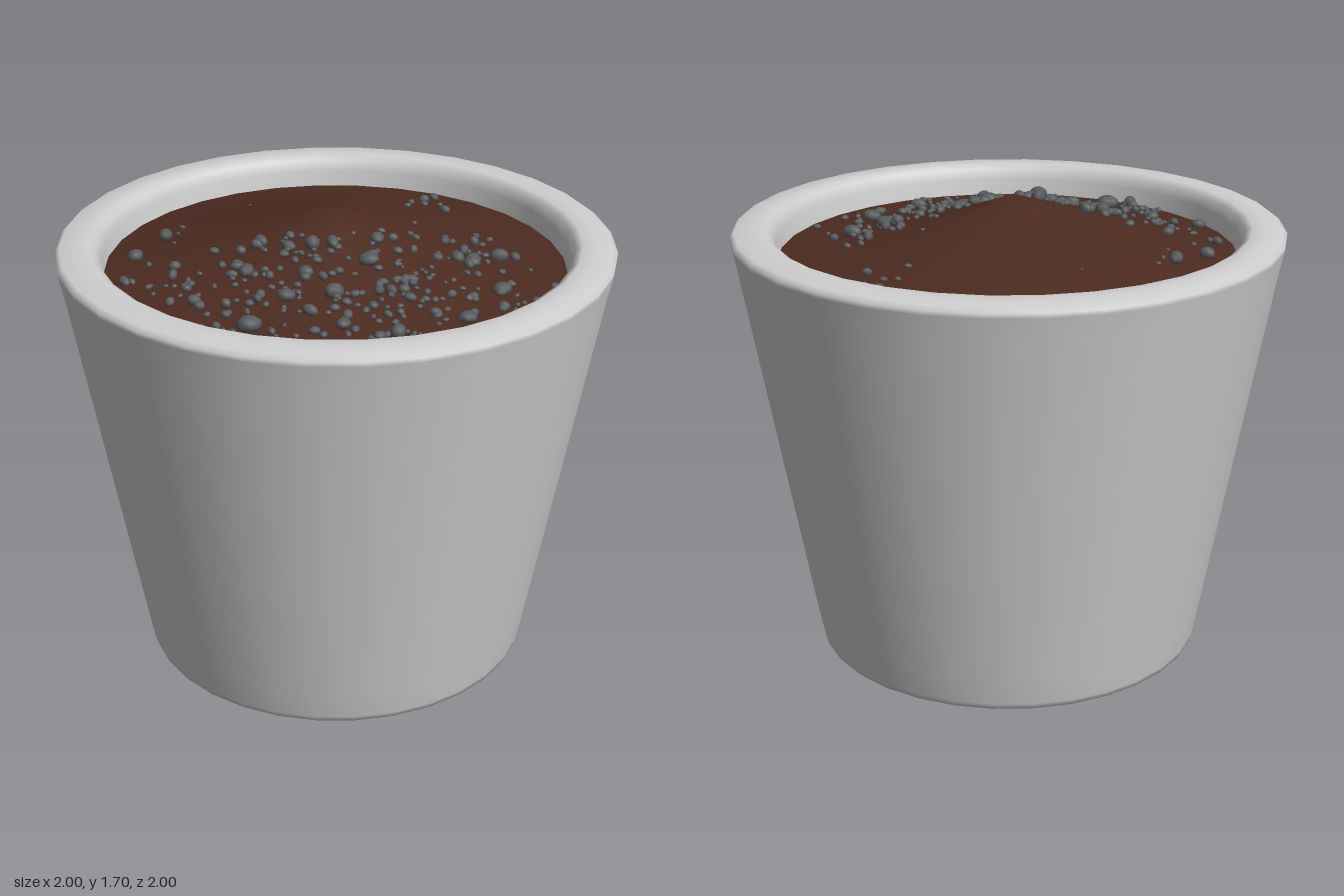
import * as THREE from 'three';
import { mergeGeometries, mergeVertices } from 'three/addons/utils/BufferGeometryUtils.js';

const SOIL_R = 0.83;

// Small seeded random generator
function makeRandom(seed) {
  return () => {
    seed = (seed * 1664525 + 1013904223) >>> 0;
    return seed / 4294967296;
  };
}

// Height of the soil mound, a little steeper towards the right front
function soilHeight(x, z) {
  const t = Math.max(0, 1 - Math.hypot(x + 0.02, z) / 0.83);
  const k = 1.35 + 0.2 * Math.cos(Math.atan2(z, x) - 0.4);
  return 1.48 + 0.22 * Math.pow(t, k);
}

function createPot(material) {
  const profile = [
    [0, 0], [0.7, 0], [0.7, 0], [0.714, 0.005], [0.72, 0.025], [0.74, 0.13],
    [0.98, 1.48], [0.996, 1.555], [0.998, 1.572], [0.98, 1.586],
    [0.92, 1.593], [0.875, 1.594], [0.85, 1.58], [0.836, 1.54], [0.826, 1.46], [0.81, 1.36],
  ].map(([r, y]) => new THREE.Vector2(r, y));
  const pot = new THREE.Mesh(new THREE.LatheGeometry(profile, 32), material);
  pot.name = 'pot';
  return pot;
}

function createSoil(material) {
  let geo = new THREE.RingGeometry(0, SOIL_R, 32, 8).rotateX(-Math.PI / 2);
  geo.deleteAttribute('normal');
  geo.deleteAttribute('uv');
  geo = mergeVertices(geo);
  const p = geo.attributes.position;
  for (let i = 0; i < p.count; i++) {
    const r = Math.hypot(p.getX(i), p.getZ(i));
    const x = p.getX(i) - 0.02 * (1 - r / SOIL_R); // peak sits slightly off centre
    p.setXYZ(i, x, soilHeight(x, p.getZ(i)), p.getZ(i));
  }
  geo.computeVertexNormals();
  const soil = new THREE.Mesh(geo, material);
  soil.name = 'soil';
  return soil;
}

function createGravel(material) {
  const rand = makeRandom(11);
  const pebbles = [];
  const addPebble = (x, z, size) => {
    const geo = new THREE.SphereGeometry(size, 8, 6);
    geo.scale(0.65 + rand() * 0.3, 0.6 + rand() * 0.25, 1);
    geo.rotateX((rand() - 0.5) * 0.6);
    geo.rotateY(rand() * Math.PI);
    geo.translate(x, soilHeight(x, z) + size * 0.35, z);
    pebbles.push(geo);
  };

  // Larger stones and stray pebbles: x, z, radius
  [
    [-0.64, 0.03, 0.035], [-0.69, 0.2, 0.03], [-0.65, 0.4, 0.027], [-0.1, 0.65, 0.045],
    [0.24, 0.74, 0.04], [-0.14, 0.78, 0.035], [-0.21, 0.36, 0.036], [0.12, 0.41, 0.037],
    [0.18, 0.2, 0.038], [0.04, 0.17, 0.032], [0.38, 0.54, 0.035], [0.57, 0.35, 0.034],
    [0.63, 0.1, 0.036], [0.49, -0.05, 0.038], [0.56, -0.16, 0.036], [0.45, -0.23, 0.025],
    [0.44, -0.3, 0.018], [0.49, -0.31, 0.015], [0.36, -0.16, 0.02], [-0.48, 0.37, 0.025],
    [0.17, -0.74, 0.022], [0.15, -0.67, 0.022], [0.17, -0.6, 0.015], [0.26, -0.56, 0.022],
    [0.12, -0.59, 0.013], [0.22, -0.64, 0.012], [0.13, -0.5, 0.014], [0.23, -0.22, 0.01],
    [-0.43, -0.3, 0.006], [-0.61, -0.06, 0.012], [-0.6, 0.01, 0.012], [-0.58, 0.1, 0.008],
    [-0.38, 0.22, 0.02], [0.62, 0.48, 0.018], [0.55, 0.2, 0.02], [-0.03, 0.47, 0.033],
    [-0.5, 0.6, 0.028], [-0.34, 0.53, 0.026], [0.34, 0.22, 0.025], [-0.61, 0.27, 0.014],
  ].forEach(s => addPebble(...s));

  // Fine gravel spread over the front slope and up its left side
  let placed = 0;
  while (placed < 270) {
    const g = () => rand() + rand() + rand() - 1.5;
    const side = rand() < 0.22;
    const x = side ? 0.4 + g() * 0.28 : -0.02 + g() * 0.75;
    const z = side ? 0.12 + g() * 0.45 : 0.41 + g() * 0.5;
    const edge = x < 0 ? 0.09 - x * 0.4 : 0.09 - x * 0.7;
    if (z < edge || Math.hypot(x, z) > 0.79) continue;
    addPebble(x, z, 0.01 + rand() * rand() * 0.022);
    placed++;
  }
  const gravel = new THREE.Mesh(mergeGeometries(pebbles), material);
  gravel.name = 'gravel';
  return gravel;
}

export function createModel() {
  const paint = (name, color) => {
    const m = new THREE.MeshStandardMaterial({ color });
    m.name = name;
    return m;
  };
  const model = new THREE.Group();
  model.name = 'flowerPot';
  model.add(
    createPot(paint('pale grey ceramic', 0xcfcfcf)),
    createSoil(paint('brown soil', 0x4c2b20)),
    createGravel(paint('grey stone', 0x56595b)),
  );
  return model;
}
